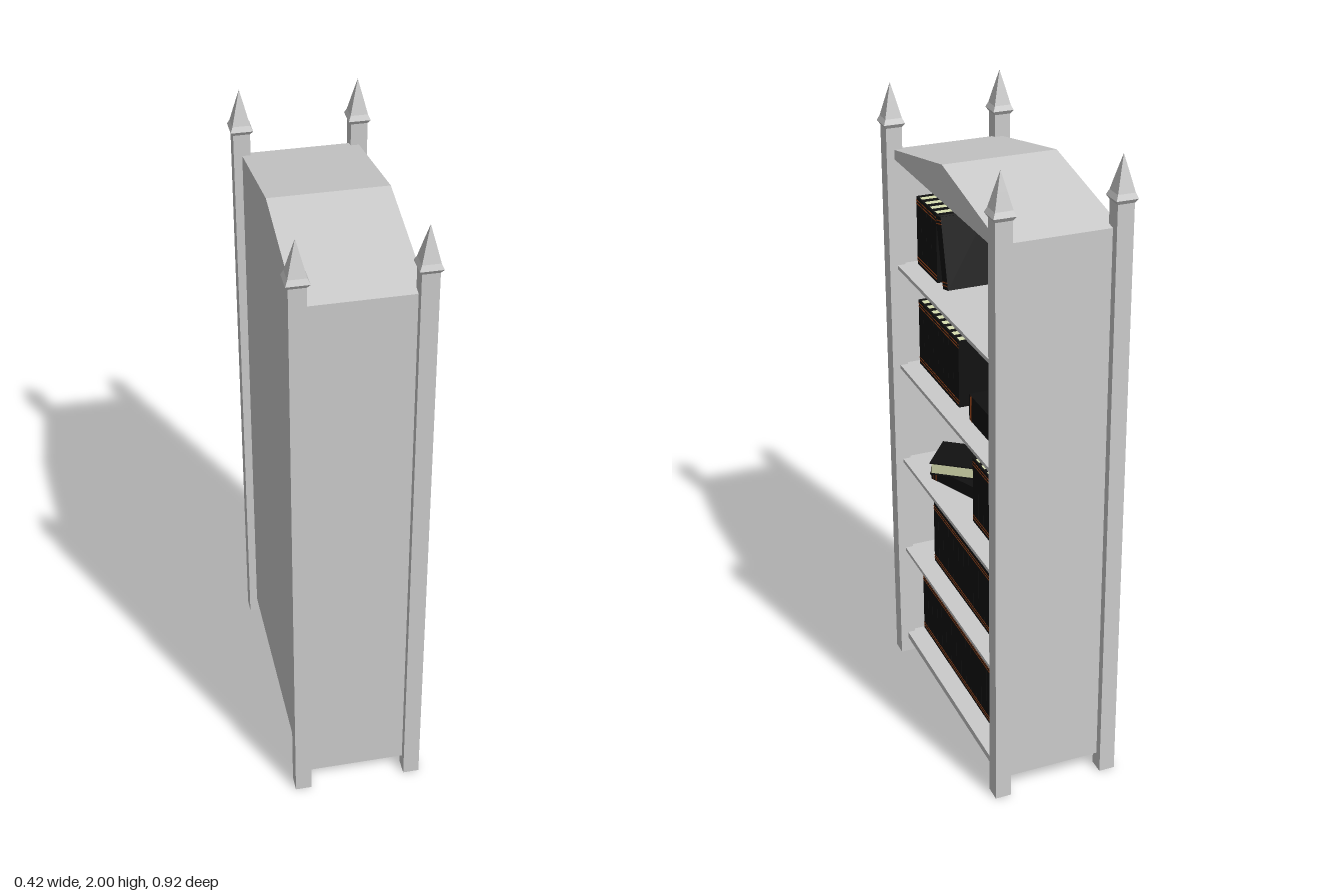
import * as THREE from 'three';

const grey = new THREE.MeshStandardMaterial({ color: 0xcccccc, flatShading: true });
const leather = new THREE.MeshStandardMaterial({ color: 0x111111 });
const paper = new THREE.MeshStandardMaterial({ color: 0xd8deb0 });
const gilt = new THREE.MeshStandardMaterial({ color: 0x8a3c14 });

// Book size: height, depth and thickness
const H = 0.22, D = 0.15, T = 0.042;
const coverGeo = new THREE.BoxGeometry(D, H, 0.004);
const spineGeo = new THREE.BoxGeometry(0.005, H, T);
const pagesGeo = new THREE.BoxGeometry(D - 0.009, H - 0.01, T - 0.007);
const bandGeo = new THREE.BoxGeometry(0.002, 0.003, T);

function add(parent, name, geometry, material, x, y, z) {
  const mesh = new THREE.Mesh(geometry, material);
  mesh.name = name;
  mesh.position.set(x, y, z);
  parent.add(mesh);
  return mesh;
}

function box(parent, name, x0, x1, y0, y1, z0, z1) {
  const geometry = new THREE.BoxGeometry(x1 - x0, y1 - y0, z1 - z0);
  return add(parent, name, geometry, grey, (x0 + x1) / 2, (y0 + y1) / 2, (z0 + z1) / 2);
}

// Upright book standing on its origin, spine towards +x
function makeBook() {
  const book = new THREE.Group();
  book.name = 'book';
  for (const s of [-1, 1]) add(book, 'cover', coverGeo, leather, 0, H / 2, s * (T / 2 - 0.002));
  add(book, 'spine', spineGeo, leather, D / 2 - 0.0025, H / 2, 0);
  add(book, 'pages', pagesGeo, paper, -0.0005, H / 2, 0);
  for (const y of [0.012, 0.022, H - 0.022, H - 0.012]) add(book, 'spineBand', bandGeo, gilt, D / 2, y, 0);
  return book;
}

export function createModel() {
  const model = new THREE.Group();
  model.name = 'bookcase';

  // Corner posts with flared, pointed finials
  const profile = [[0, 1.865], [0.025, 1.868], [0.033, 1.88], [0.026, 1.896], [0.014, 1.945], [0, 2]]
    .map(([r, y]) => new THREE.Vector2(r * Math.SQRT2, y));
  const finialGeo = new THREE.LatheGeometry(profile, 4, Math.PI / 4);
  for (const x of [-0.175, 0.175]) {
    for (const z of [-0.425, 0.425]) {
      box(model, 'post', x - 0.025, x + 0.025, 0, 1.87, z - 0.025, z + 0.025);
      add(model, 'finial', finialGeo, grey, x, 0, z);
    }
  }

  // Side and back panels
  for (const s of [-1, 1]) box(model, 'sidePanel', -0.175, 0.17, 0.053, 1.78, s * 0.4185 - 0.0065, s * 0.4185 + 0.0065);
  box(model, 'backPanel', -0.175, -0.165, 0.053, 1.78, -0.42, 0.42);

  // Base and shelves
  const shelfTops = [0.075, 0.414, 0.752, 1.09, 1.43];
  shelfTops.forEach((y, i) => {
    box(model, i ? 'shelf' : 'base', -0.17, 0.175, y - (i ? 0.012 : 0.022), y, -0.42, 0.42);
  });

  // Gabled top, ridge running front to back of the case
  const gable = new THREE.Shape([[-0.425, 1.77], [0.425, 1.77], [0.425, 1.795], [0, 1.88], [-0.425, 1.795]]
    .map(([z, y]) => new THREE.Vector2(z, y)));
  const roofGeo = new THREE.ExtrudeGeometry(gable, { depth: 0.35, bevelEnabled: false });
  add(model, 'gabledTop', roofGeo, grey, -0.175, 0, 0).rotation.y = Math.PI / 2;

  // Rows of upright books: shelf, z of the first edge, count, pitch
  const rows = [
    [0, 0.408, 17, 0.0437], [1, 0.29, 16, 0.0435], [2, -0.058, 8, 0.0435],
    [3, 0.39, 8, 0.0427], [4, 0.39, 4, 0.0427], [4, -0.313, 2, 0.0427],
  ];
  for (const [shelf, z, count, pitch] of rows) {
    for (let i = 0; i < count; i++) {
      const book = makeBook();
      book.position.set(0.038, shelfTops[shelf], z - pitch * (i + 0.5));
      model.add(book);
    }
  }

  // Leaning books: shelf, z, tilt
  for (const [shelf, z, tilt] of [[0, -0.391, 0.15], [4, 0.15, 0.24]]) {
    const book = makeBook();
    book.name = 'leaningBook';
    book.position.set(0.038, shelfTops[shelf] + (T / 2) * Math.sin(tilt), z);
    book.rotation.x = tilt;
    model.add(book);
  }

  // Books lying flat: shelf, level in the pile, x, z, turn
  const flat = [
    [2, 0, 0.025, 0.17, 0.4], [2, 1, 0.025, 0.19, Math.PI + 0.92],
    [3, 0, 0.038, -0.144, 0], [3, 1, 0.038, -0.144, 0],
  ];
  for (const [shelf, level, x, z, turn] of flat) {
    const pile = new THREE.Group();
    pile.name = 'lyingBook';
    const book = makeBook();
    book.rotation.x = Math.PI / 2;
    book.position.z = -H / 2;
    pile.add(book);
    pile.position.set(x, shelfTops[shelf] + T * (level + 0.5), z);
    pile.rotation.y = turn;
    model.add(pile);
  }

  return model;
}
